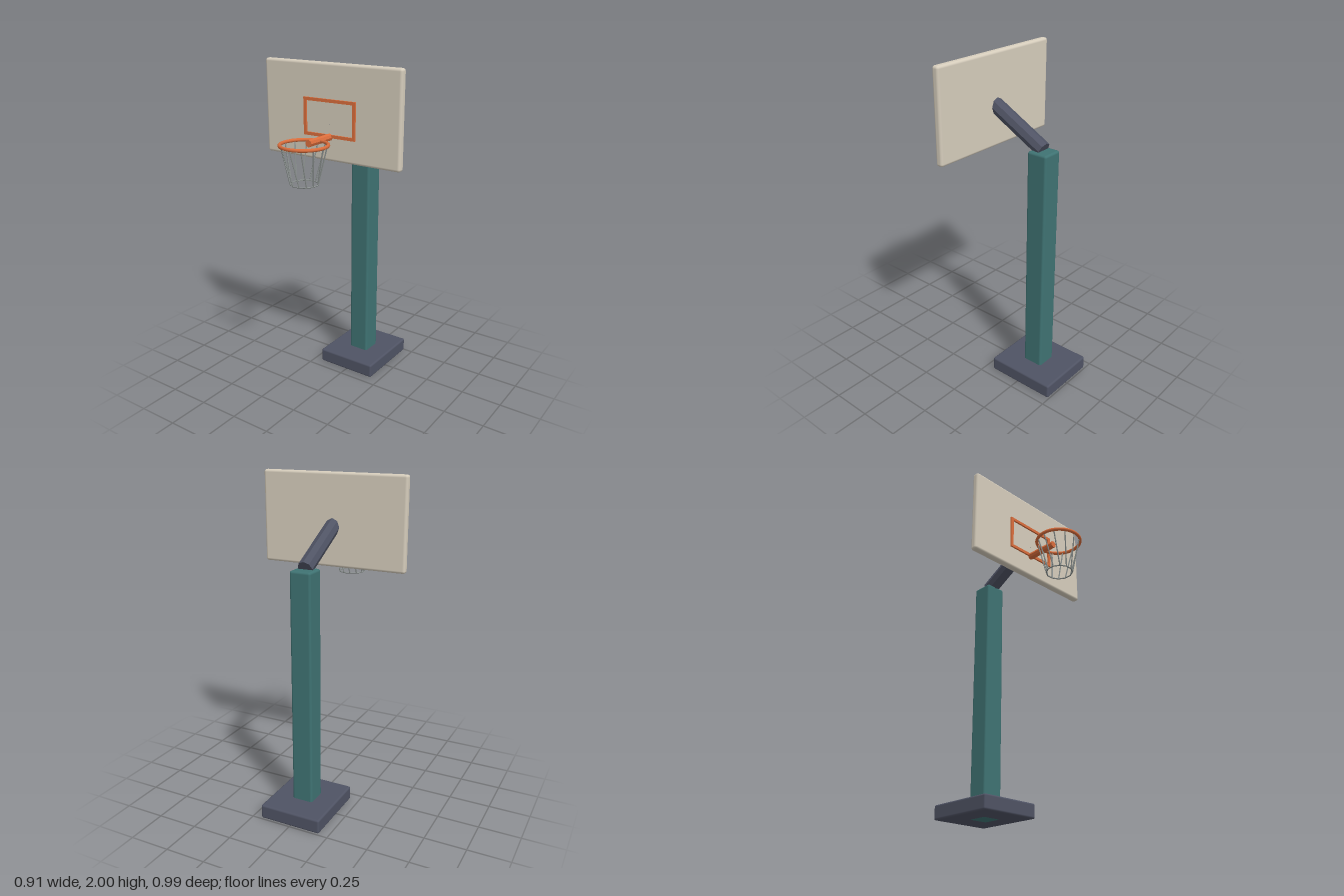
import * as THREE from 'three';
import { RoundedBoxGeometry } from 'three/addons/geometries/RoundedBoxGeometry.js';

const paint = (color, flatShading = false) => new THREE.MeshStandardMaterial({ color, flatShading });

export function createModel() {
  const model = new THREE.Group();
  const slate = paint(0x4f5364), slateFlat = paint(0x4f5364, true);
  const teal = paint(0x3f7373), cream = paint(0xd6cdbc);
  const orange = paint(0xdc6e3c), orangeFlat = paint(0xdc6e3c, true);
  const cord = paint(0x8a908e, true);

  const add = (name, geometry, material, x = 0, y = 0, z = 0, parent = model) => {
    const mesh = new THREE.Mesh(geometry, material);
    mesh.name = name;
    mesh.position.set(x, y, z);
    parent.add(mesh);
    return mesh;
  };
  // Straight rod between two points
  const rod = (name, a, b, radius, sides, material, parent = model) => {
    const dir = b.clone().sub(a);
    const mesh = add(name, new THREE.CylinderGeometry(radius, radius, dir.length(), sides), material, 0, 0, 0, parent);
    mesh.position.copy(a).add(b).multiplyScalar(0.5);
    mesh.quaternion.setFromUnitVectors(new THREE.Vector3(0, 1, 0), dir.normalize());
    return mesh;
  };
  const v = (x, y, z) => new THREE.Vector3(x, y, z);

  // Base, post and support arm
  add('base', new RoundedBoxGeometry(0.388, 0.088, 0.44, 2, 0.012), slate, 0, 0.046, -0.275);
  add('post', new RoundedBoxGeometry(0.13, 1.5, 0.13, 2, 0.014), teal, 0, 0.75, -0.27);
  rod('supportArm', v(0, 1.506, -0.268), v(0, 1.7, 0.09), 0.046, 8, slateFlat);

  // Backboard with its target frame
  add('backboard', new RoundedBoxGeometry(0.914, 0.55, 0.046, 2, 0.016), cream, 0, 1.725, 0.088);
  const target = new THREE.Group();
  target.name = 'targetFrame';
  model.add(target);
  for (const s of [-1, 1]) {
    add('targetSide', new THREE.BoxGeometry(0.018, 0.216, 0.014), orange, s * 0.166, 1.695, 0.114, target);
    add('targetBar', new THREE.BoxGeometry(0.314, 0.018, 0.014), orange, 0, 1.695 + s * 0.099, 0.114, target);
  }

  // Hoop and bracket
  const hoopY = 1.59, hoopZ = 0.35;
  rod('hoopBracket', v(0, hoopY, 0.1), v(0, hoopY, 0.309), 0.021, 8, orangeFlat);
  add('hoop', new THREE.TorusGeometry(0.132, 0.01, 8, 32), orange, 0, hoopY, hoopZ).rotation.x = Math.PI / 2;

  // Net: slanted cords running down to a small ring
  const net = new THREE.Group();
  net.name = 'net';
  model.add(net);
  const count = 12, step = (Math.PI * 2) / count, netY = 1.373;
  const onCircle = (radius, angle, y) => v(radius * Math.cos(angle), y, hoopZ + radius * Math.sin(angle));
  for (let i = 0; i < count; i++) {
    rod('netCord', onCircle(0.128, i * step, hoopY), onCircle(0.078, (i - 0.5) * step, netY), 0.004, 5, cord, net);
  }
  const ring = add('netRing', new THREE.TorusGeometry(0.078, 0.004, 5, count), cord, 0, netY, hoopZ, net);
  ring.rotation.set(Math.PI / 2, 0, step / 2);

  return model;
}
